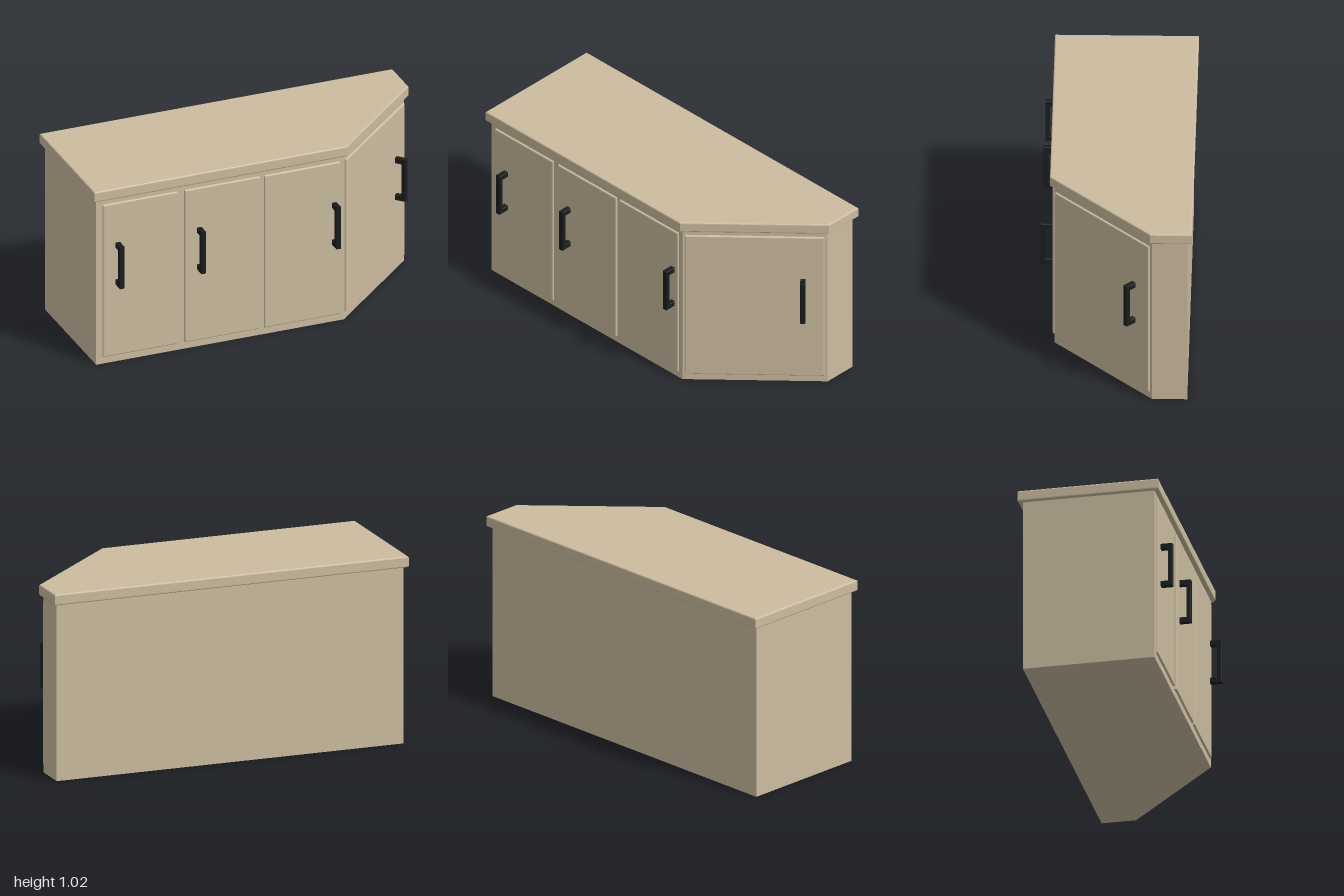
import * as THREE from 'three';

const wood = new THREE.MeshStandardMaterial({ color: 0xcdbda0 });
const black = new THREE.MeshStandardMaterial({ color: 0x1a1d1e });

const shapeOf = (points) => new THREE.Shape(points.map(([x, y]) => new THREE.Vector2(x, y)));

// Extrudes an outline from 0 to depth; the bevel stays inside the given size.
function prism(points, depth, bevel = 0, segments = 1) {
  const geometry = new THREE.ExtrudeGeometry(shapeOf(points), {
    depth: depth - 2 * bevel, bevelEnabled: bevel > 0, bevelThickness: bevel,
    bevelSize: bevel, bevelOffset: -bevel, bevelSegments: segments,
  });
  return geometry.translate(0, 0, bevel);
}

function add(parent, name, geometry, material) {
  const mesh = new THREE.Mesh(geometry, material);
  mesh.name = name;
  parent.add(mesh);
  return mesh;
}

// Horizontal slab from a plan outline given as [x, z].
function slab(plan, y, height, bevel, segments) {
  return prism(plan.map(([x, z]) => [x, -z]).reverse(), height, bevel, segments)
    .rotateX(-Math.PI / 2).translate(0, y, 0);
}

// Bracket-shaped pull, standing out along +z.
function handleGeometry() {
  const h = 0.1225, d = 0.063, leg = 0.03, bar = 0.024;
  const outline = [[0, -h], [d, -h], [d, h], [0, h], [0, h - leg],
    [d - bar, h - leg], [d - bar, leg - h], [0, leg - h]];
  return prism(outline, 0.028, 0.002).translate(0, 0, -0.014).rotateY(-Math.PI / 2);
}

// Door panel spanning x0..x1 on the z = 0 plane, with its handle.
function door(name, x0, x1, handleX, handleY) {
  const group = new THREE.Group();
  group.name = name;
  const y0 = 0.04, y1 = 0.93;
  const panel = prism([[x0, y0], [x1, y0], [x1, y1], [x0, y1]], 0.022, 0.007, 3);
  add(group, 'doorPanel', panel.translate(0, 0, -0.011), wood);
  add(group, 'handle', handleGeometry(), black).position.set(handleX, handleY, 0.01);
  return group;
}

export function createModel() {
  const model = new THREE.Group();
  model.name = 'cornerCabinet';

  // Carcass and overhanging worktop share the cut-off front corner
  const body = [[-0.98, -0.375], [0.98, -0.375], [0.98, -0.19], [0.423, 0.33], [-0.98, 0.33]];
  const top = [[-1, -0.4], [1, -0.4], [1, -0.18], [0.43, 0.355], [-1, 0.355]];
  add(model, 'carcass', slab(body, 0, 0.965, 0), wood);
  add(model, 'worktop', slab(top, 0.962, 0.06, 0.008, 3), wood);

  // Three doors on the straight front
  const front = new THREE.Group();
  front.name = 'frontDoors';
  front.position.z = 0.33;
  [[-0.945, -0.52, -0.862], [-0.482, -0.055, -0.4], [-0.03, 0.4, 0.365]].forEach(
    ([x0, x1, hx], i) => front.add(door('frontDoor' + (i + 1), x0, x1, hx, 0.578)));
  model.add(front);

  // Wide door on the angled corner
  const angle = Math.atan2(0.52, 0.557);
  const corner = door('cornerDoor', 0.097, 0.83, 0.717, 0.543);
  corner.rotation.y = angle;
  corner.position.set(Math.sin(angle), 0, Math.cos(angle)).multiplyScalar(0.53);
  model.add(corner);

  return model;
}
